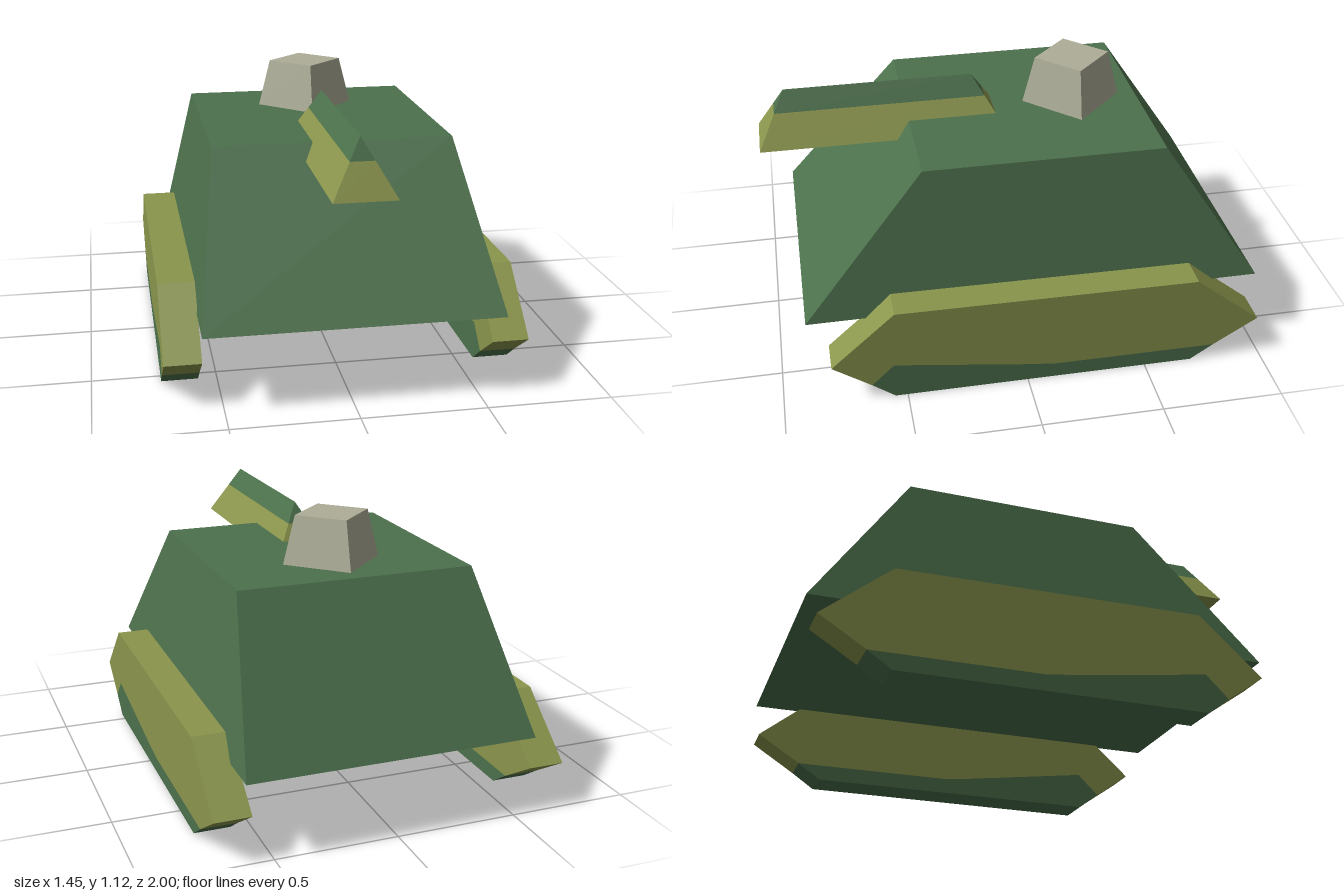
import * as THREE from 'three';

const green = new THREE.MeshStandardMaterial({ color: 0x4c704c });
green.name = 'green';
const olive = new THREE.MeshStandardMaterial({ color: 0x8a954c });
olive.name = 'olive';
const grey = new THREE.MeshStandardMaterial({ color: 0xadad98 });
grey.name = 'grey';

function part(name, geometry, material) {
  const flat = geometry.index ? geometry.toNonIndexed() : geometry;
  flat.computeVertexNormals();
  const mesh = new THREE.Mesh(flat, material);
  mesh.name = name;
  return mesh;
}

// Solid between two level rectangles, each given as [y, x0, x1, z0, z1]
function taperedBlock(bottom, top) {
  const ring = ([y, x0, x1, z0, z1]) => [x0, y, z1, x1, y, z1, x1, y, z0, x0, y, z0];
  const index = [4, 5, 6, 4, 6, 7, 0, 2, 1, 0, 3, 2];
  for (let i = 0; i < 4; i++) {
    const j = (i + 1) % 4;
    index.push(i, j, j + 4, i, j + 4, i + 4);
  }
  const g = new THREE.BufferGeometry();
  g.setAttribute('position', new THREE.Float32BufferAttribute([...ring(bottom), ...ring(top)], 3));
  g.setIndex(index);
  return g;
}

// Side profile in (z, y), extruded across x and centred on it
function sidePlate(profile, width) {
  const shape = new THREE.Shape(profile.map(([z, y]) => new THREE.Vector2(z, y)));
  const g = new THREE.ExtrudeGeometry(shape, { depth: width, bevelEnabled: false });
  return g.rotateY(-Math.PI / 2).translate(width / 2, 0, 0);
}

export function createModel() {
  const model = new THREE.Group();
  model.name = 'tank';

  // Sloped body
  model.add(part('hull', taperedBlock(
    [0.32, -0.58, 0.604, -1, 0.885],
    [0.92, -0.483, 0.503, -0.6, 0.385]), green));

  // Tracks: olive above a wavy line, green below it
  const wave = [[0.643, 0.07], [0.55, 0.16], [0, 0.08], [-0.12, 0.066], [-0.796, 0.065]];
  const upper = [...wave, [-0.98, 0.18], [-0.705, 0.405], [0.54, 0.415], [0.8, 0.18]];
  const lower = [...wave, [-0.7, 0], [0.55, 0]];
  for (const [name, side] of [['leftTrack', 1], ['rightTrack', -1]]) {
    const track = new THREE.Group();
    track.name = name;
    track.add(part('trackUpper', sidePlate(upper, 0.148), olive));
    track.add(part('trackLower', sidePlate(lower, 0.148), green));
    track.position.x = side * 0.65;
    model.add(track);
  }

  // Triangular gun, its ends leaning in towards the ridge
  const gun = new THREE.Group();
  gun.name = 'gun';
  const section = (y) => {
    const t = (y - 0.855) / 0.215;
    const half = 0.123 * (1 - t);
    return [y, 0.01 - half, 0.01 + half, -0.02 + 0.13 * t, 1 - 0.115 * t];
  };
  gun.add(part('gunBase', taperedBlock(section(0.855), section(0.987)), olive));
  gun.add(part('gunRidge', taperedBlock(section(0.987), section(1.07)), green));
  model.add(gun);

  // Diamond-shaped hatch
  const hatch = part('hatch', new THREE.CylinderGeometry(0.158, 0.21, 0.205, 4), grey);
  hatch.position.set(0.01, 1.0175, -0.32);
  model.add(hatch);

  return model;
}
